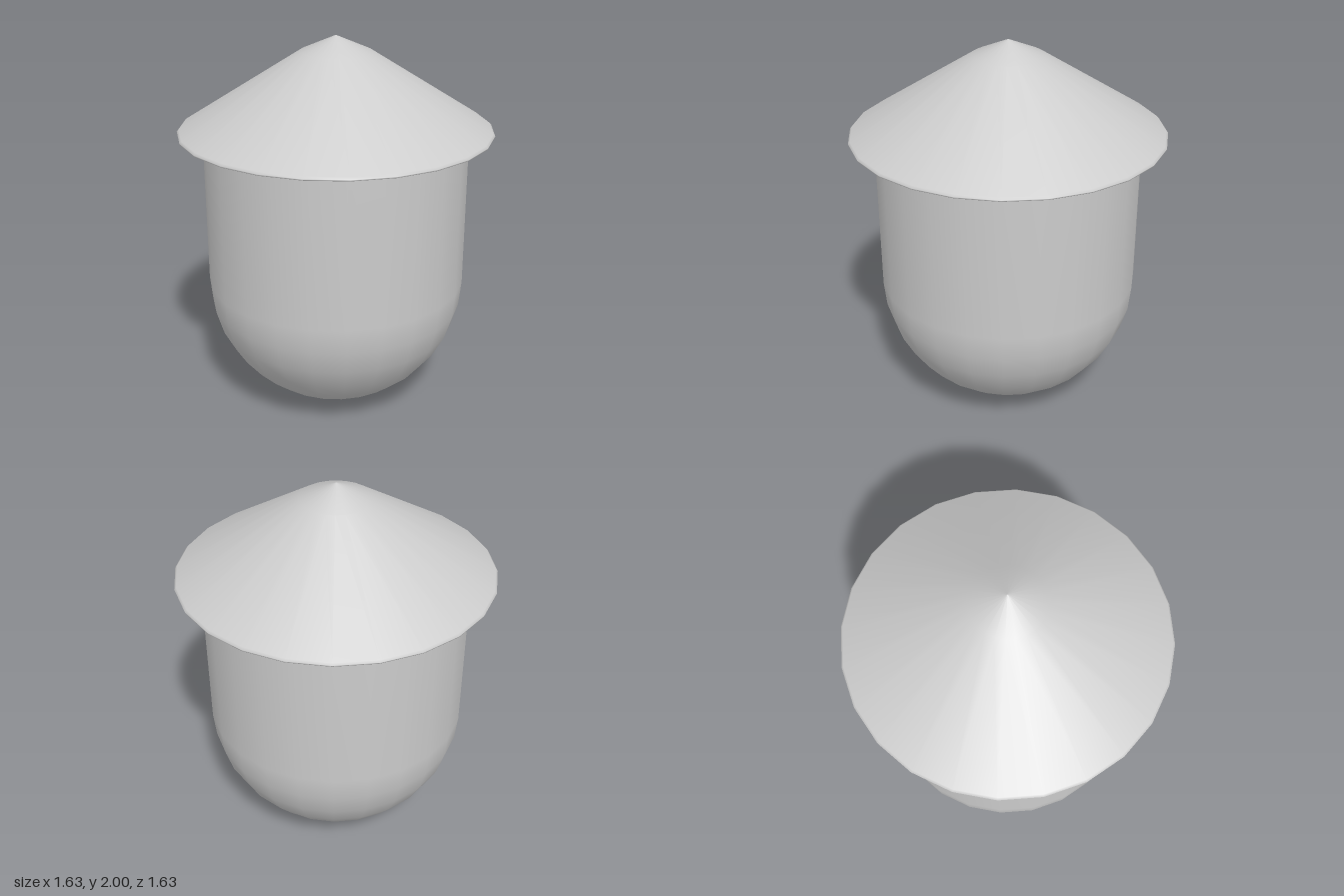
import * as THREE from 'three';

const SIDES = 24;
const TURN = THREE.MathUtils.degToRad(10);

export function createModel() {
  const group = new THREE.Group();
  const material = new THREE.MeshStandardMaterial({ color: 0xcccccc });

  // Spins a profile of [radius, height] pairs, listed from bottom to top
  function addLathe(name, profile) {
    const points = profile.map(([r, y]) => new THREE.Vector2(r, y));
    const mesh = new THREE.Mesh(new THREE.LatheGeometry(points, SIDES, TURN), material);
    mesh.name = name;
    group.add(mesh);
  }

  // Body: hemispherical bottom running into a straight wall
  const radius = 0.69, rings = 8;
  const bodyProfile = [];
  for (let i = 0; i <= rings; i++) {
    const a = (i / rings) * Math.PI / 2;
    bodyProfile.push([radius * Math.sin(a), radius * (1 - Math.cos(a))]);
  }
  bodyProfile.push([radius, 1.52]);
  addLathe('body', bodyProfile);

  // Conical roof with a thin rounded lip and a softened tip
  addLathe('roof', [[0.81, 1.505], [0.818, 1.508], [0.82, 1.515], [0.81, 1.525], [0.185, 1.92], [0, 2]]);

  // Flat underside of the overhanging roof
  addLathe('roofUnderside', [[0, 1.505], [0.81, 1.505]]);

  return group;
}
